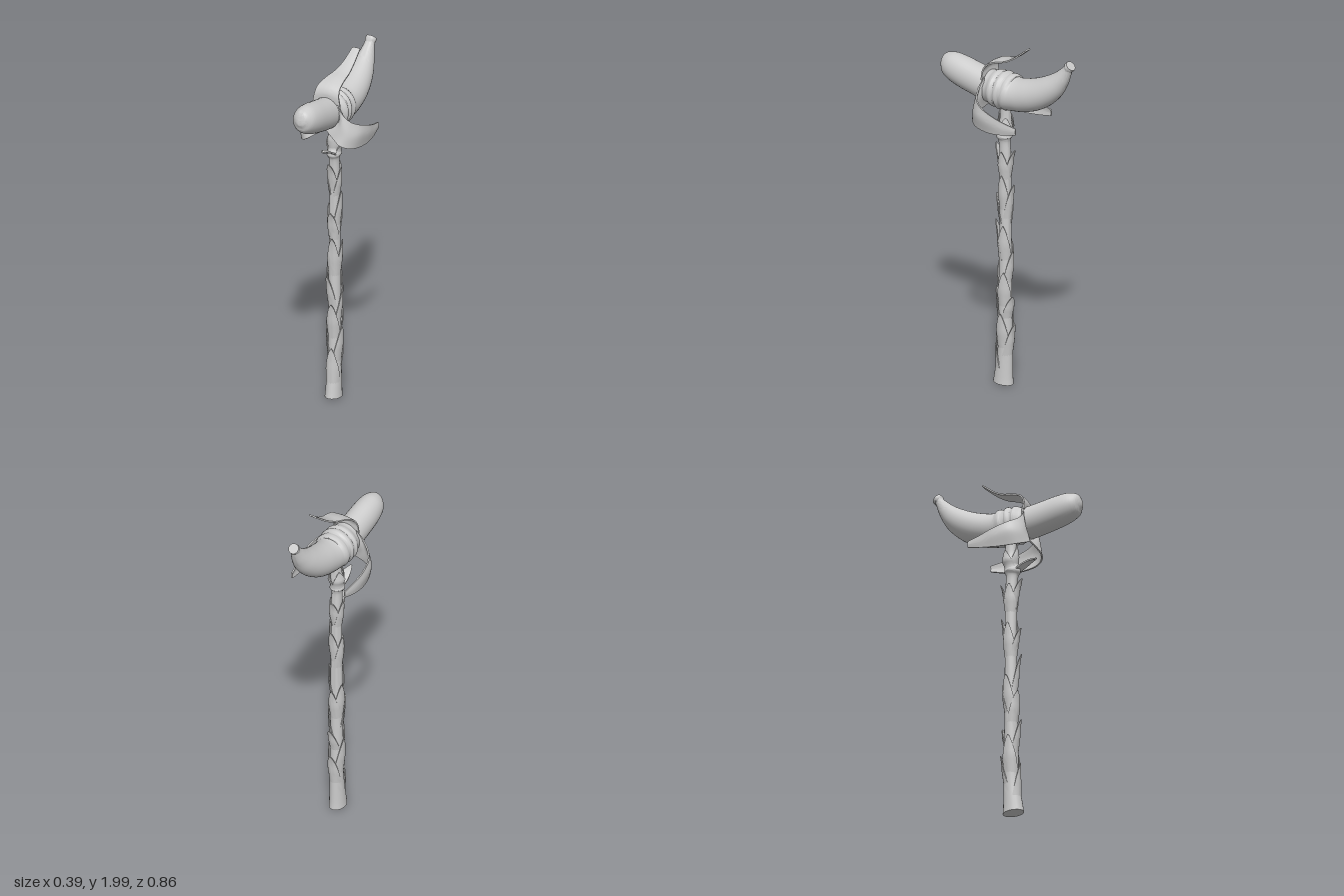
import * as THREE from 'three';
import { toCreasedNormals } from 'three/addons/utils/BufferGeometryUtils.js';

const V = (x, y, z) => new THREE.Vector3(x, y, z);
const mat = new THREE.MeshStandardMaterial({ color: 0xcccccc });
const spline = (pts) => new THREE.CatmullRomCurve3(pts, false, 'catmullrom', 0.5);

// Skin between rows of points; closed rows wrap around
function loft(rows, closed) {
  const n = rows[0].length, index = [];
  for (let i = 0; i < rows.length - 1; i++) {
    for (let j = 0; j < (closed ? n : n - 1); j++) {
      const k = (j + 1) % n, a = i * n, b = a + n;
      index.push(a + j, a + k, b + j, a + k, b + k, b + j);
    }
  }
  const geo = new THREE.BufferGeometry().setFromPoints(rows.flat());
  geo.setIndex(index);
  geo.computeVertexNormals();
  return geo;
}

// Add end caps by collapsing the first and last ring to their centres
function capped(rows) {
  const collapse = (row) => {
    const c = row.reduce((s, p) => s.add(p), V(0, 0, 0)).divideScalar(row.length);
    return row.map(() => c.clone());
  };
  return toCreasedNormals(loft([collapse(rows[0]), ...rows, collapse(rows.at(-1))], true), 0.9);
}

// Elliptical tube in the x = 0 plane; profile entries are [y, z, rx, rDepth]
function tube(profile, steps, sides) {
  const path = spline(profile.map(([y, z]) => V(0, y, z)));
  const radii = spline(profile.map(([, , a, b]) => V(a, b, 0)));
  const X = V(1, 0, 0), rows = [];
  for (let i = 0; i <= steps; i++) {
    const t = i / steps, c = path.getPoint(t), r = radii.getPoint(t);
    const N = path.getTangent(t).cross(X).normalize();
    rows.push(Array.from({ length: sides }, (_, j) => {
      const a = (j / sides) * Math.PI * 2;
      return c.clone().addScaledVector(X, Math.max(r.x, 0) * Math.cos(a))
        .addScaledVector(N, Math.max(r.y, 0) * Math.sin(a));
    }));
  }
  return capped(rows);
}

// Give a grid of points a thickness
function shell(grid, thickness) {
  const n = grid[0].length, normals = loft(grid, false).attributes.normal;
  const side = (i, s) => grid[i].map((p, j) =>
    p.clone().addScaledVector(V(0, 0, 0).fromBufferAttribute(normals, i * n + j), s * thickness / 2));
  return capped(grid.map((_, i) => [...side(i, 1), ...side(i, -1).reverse()]));
}

// Curved flap through three rails: one edge, the middle, the other edge
function flap(rails, thickness, steps = 28, across = 12) {
  const curves = rails.map((r) => spline(r.map((p) => V(...p))));
  const grid = [];
  for (let i = 0; i <= steps; i++) {
    const row = spline(curves.map((c) => c.getPoint(i / steps)));
    grid.push(row.getPoints(across));
  }
  return shell(grid, thickness);
}

const TRUNK = [
  [0.008, 0.033, 0.045, 0.06], [0.06, 0.03, 0.042, 0.054], [0.2, 0.021, 0.036, 0.043],
  [0.4, 0.02, 0.035, 0.038], [0.7, 0.02, 0.033, 0.036], [1, 0.018, 0.03, 0.033],
  [1.3, 0.02, 0.028, 0.033], [1.41, 0.025, 0.028, 0.034], [1.44, 0.027, 0.041, 0.045],
  [1.47, 0.024, 0.033, 0.037], [1.5, 0.02, 0.038, 0.038], [1.55, 0.018, 0.027, 0.033],
  [1.64, 0.018, 0.026, 0.03],
];

// Trunk centre and radii at a height
function trunkAt(y) {
  const i = Math.max(1, TRUNK.findIndex((p) => p[0] >= y));
  const [a, b] = [TRUNK[i - 1], TRUNK[i]];
  const t = Math.max(0, (y - a[0]) / (b[0] - a[0]));
  return a.map((v, k) => v + (b[k] - v) * t);
}

// Pointed bark scale hugging the trunk, its tip lifting away (angle 0 is the front)
function barkScale(tip, angle, height, flare) {
  const grid = [];
  for (let i = 0; i <= 10; i++) {
    const t = i / 10, y = tip - height * (1 - t);
    const [, z, rx, rz] = trunkAt(y);
    const lift = -0.005 + 0.013 * Math.min(1, t * 2) + flare * t ** 4;
    const spread = 1.45 * Math.pow(1 - t, 0.75) + 0.04;
    grid.push(Array.from({ length: 9 }, (_, j) => {
      const a = angle + spread * (j / 4 - 1);
      return V(Math.sin(a) * (rx + lift), y, z + Math.cos(a) * (rz + lift));
    }));
  }
  return shell(grid, 0.005);
}

export function createModel() {
  const model = new THREE.Group();
  const add = (name, geo, parent = model) => {
    const mesh = new THREE.Mesh(geo, mat);
    mesh.name = name;
    parent.add(mesh);
    return mesh;
  };

  // Handle
  add('trunkHandle', tube(TRUNK, 72, 20));

  // Bark scales: [tip height, angle, height, flare]
  const scales = new THREE.Group();
  scales.name = 'barkScales';
  model.add(scales);
  [
    [0.3, 0.1, 0.22, 0.002], [0.36, 3.1, 0.2, 0.016], [0.42, 1.5, 0.22, 0.003],
    [0.46, -1.6, 0.24, 0.003], [0.56, 0.1, 0.22, 0.01], [0.52, 2.9, 0.14, 0.012],
    [0.66, 1.9, 0.22, 0.003], [0.72, -0.5, 0.2, 0.01], [0.82, -1.9, 0.24, 0.004],
    [0.78, 3.1, 0.2, 0.006], [0.95, 0.2, 0.25, 0.016], [0.93, 1.8, 0.22, 0.003],
    [1.1, 0, 0.18, 0.016], [1.17, 3.1, 0.22, 0.016], [1.13, -1.7, 0.22, 0.003],
    [1.22, 1.6, 0.22, 0.003], [1.37, 3.2, 0.18, 0.022], [1.39, -0.1, 0.18, 0.018],
    [1.36, 1.6, 0.18, 0.003], [1.36, -1.6, 0.18, 0.003],
    [1.59, 0, 0.12, -0.004], [1.56, 2.1, 0.12, 0], [1.56, -2.1, 0.12, 0],
  ].forEach((s) => add('barkScale', barkScale(...s), scales));

  // Small leaf sticking out below the head
  add('smallLeaf', flap([
    [[-0.025, 1.435, 0.04], [-0.03, 1.465, 0.085], [-0.022, 1.485, 0.125], [-0.004, 1.497, 0.166]],
    [[0, 1.445, 0.05], [0, 1.47, 0.09], [0, 1.492, 0.125], [0, 1.499, 0.166]],
    [[0.025, 1.435, 0.04], [0.03, 1.465, 0.085], [0.022, 1.485, 0.125], [0.004, 1.497, 0.166]],
  ], 0.008, 12, 6));

  // Peeled front half of the fruit
  add('fruitFlesh', tube([
    [1.79, 0.43, 0, 0], [1.789, 0.424, 0.028, 0.032], [1.786, 0.404, 0.052, 0.058],
    [1.776, 0.37, 0.068, 0.076], [1.758, 0.31, 0.077, 0.086], [1.735, 0.22, 0.08, 0.089],
    [1.714, 0.12, 0.082, 0.09], [1.703, 0, 0.084, 0.088],
  ], 56, 32));

  // Unpeeled rear half with wrinkled folds, tapering to the stem
  add('peelBody', tube([
    [1.714, 0.125, 0.084, 0.091], [1.712, 0.095, 0.09, 0.094], [1.711, 0.065, 0.106, 0.105],
    [1.71, 0.045, 0.098, 0.1], [1.709, 0.025, 0.107, 0.109], [1.707, 0.005, 0.098, 0.1],
    [1.705, -0.02, 0.105, 0.105], [1.702, -0.05, 0.097, 0.094], [1.707, -0.1, 0.093, 0.092],
    [1.727, -0.17, 0.089, 0.089], [1.759, -0.235, 0.081, 0.081], [1.803, -0.295, 0.067, 0.068],
    [1.853, -0.342, 0.049, 0.05], [1.9, -0.375, 0.034, 0.034], [1.928, -0.392, 0.028, 0.025],
    [1.936, -0.398, 0.031, 0.03], [1.948, -0.41, 0.03, 0.029],
  ], 96, 32));

  // Side flaps curling down and back, mirrored
  for (const [name, s] of [['leftPeelFlap', 1], ['rightPeelFlap', -1]]) {
    const rails = [
      [[0.07, 1.785, 0.11], [0.1, 1.73, 0.125], [0.14, 1.685, 0.11], [0.175, 1.655, 0.06],
        [0.186, 1.625, -0.02], [0.178, 1.6, -0.09], [0.167, 1.58, -0.164]],
      [[0.075, 1.69, 0.115], [0.1, 1.65, 0.14], [0.14, 1.61, 0.132], [0.178, 1.6, 0.08],
        [0.189, 1.58, 0], [0.182, 1.565, -0.08], [0.169, 1.562, -0.164]],
      [[0, 1.615, 0.122], [0.055, 1.585, 0.147], [0.105, 1.552, 0.158], [0.152, 1.53, 0.11],
        [0.174, 1.521, 0.02], [0.177, 1.527, -0.07], [0.166, 1.545, -0.164]],
    ];
    add(name, flap(rails.map((r) => r.map(([x, y, z]) => [s * x, y, z])), 0.008));
  }

  // Top flap sweeping up and back: [y, z, right edge x, left edge x, crown]
  const top = [
    [1.77, 0.12, -0.08, 0.085, 0.026], [1.82, 0.118, -0.07, 0.076, 0.012],
    [1.858, 0.095, -0.06, 0.071, 0.006], [1.884, 0.04, -0.04, 0.069, 0.005],
    [1.901, -0.02, -0.02, 0.067, 0.004], [1.934, -0.08, 0, 0.065, 0.003],
    [1.994, -0.155, 0.018, 0.064, 0.002],
  ];
  add('topPeelFlap', flap([
    top.map(([y, z, a]) => [a, y, z]),
    top.map(([y, z, a, b, c]) => [(a + b) / 2, y + c, z]),
    top.map(([y, z, , b]) => [b, y, z]),
  ], 0.008));

  return model;
}
